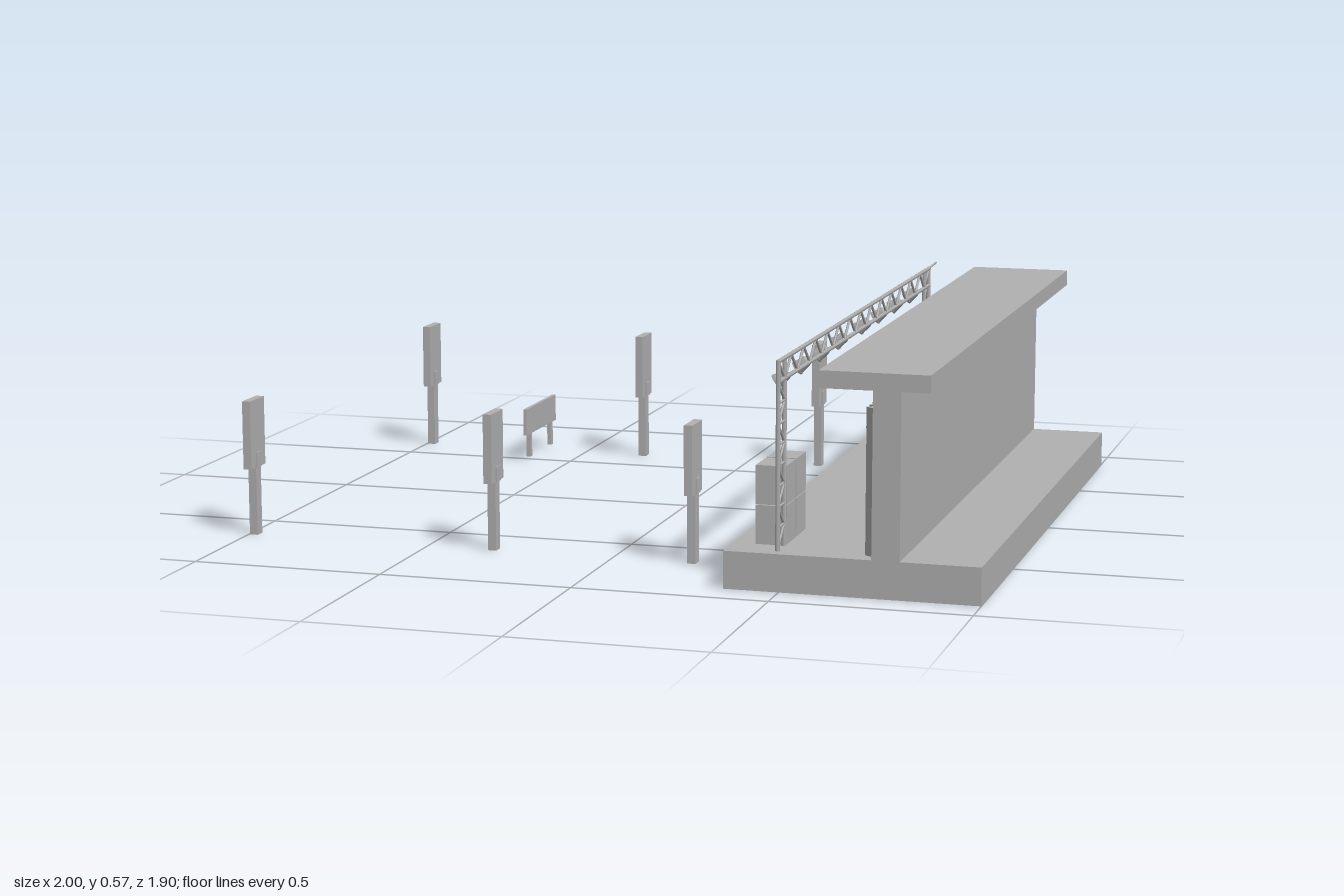
import * as THREE from 'three';

const grey = new THREE.MeshStandardMaterial({ color: 0xb0b0b0 });
grey.name = 'concrete grey';

function add(parent, name, geometry, x = 0, y = 0, z = 0) {
  const mesh = new THREE.Mesh(geometry, grey);
  mesh.name = name;
  mesh.position.set(x, y, z);
  parent.add(mesh);
  return mesh;
}

// Box given by its limits on each axis
function box(parent, name, [x0, x1], [y0, y1], [z0, z1]) {
  return add(parent, name, new THREE.BoxGeometry(x1 - x0, y1 - y0, z1 - z0),
    (x0 + x1) / 2, (y0 + y1) / 2, (z0 + z1) / 2);
}

// Round bar between two points
function bar(parent, name, a, b, r, sides = 6) {
  const p = new THREE.Vector3(...a), q = new THREE.Vector3(...b);
  const d = q.clone().sub(p);
  const mesh = add(parent, name, new THREE.CylinderGeometry(r, r, d.length(), sides));
  mesh.position.copy(p).add(q).multiplyScalar(0.5);
  mesh.quaternion.setFromUnitVectors(new THREE.Vector3(0, 1, 0), d.normalize());
  return mesh;
}

function group(parent, name, x = 0, y = 0, z = 0) {
  const g = new THREE.Group();
  g.name = name;
  g.position.set(x, y, z);
  parent.add(g);
  return g;
}

// Pleated curtain: a closed zigzag outline extruded upwards
function curtain(parent, z0, z1) {
  const folds = 9, shape = new THREE.Shape();
  shape.moveTo(0.73, -z0);
  for (let i = 0; i <= folds * 2; i++) {
    const z = z0 + (z1 - z0) * i / (folds * 2);
    shape.lineTo(i % 2 ? 0.703 : 0.722, -z);
  }
  shape.lineTo(0.73, -z1);
  const geo = new THREE.ExtrudeGeometry(shape, { depth: 0.365, bevelEnabled: false });
  geo.rotateX(-Math.PI / 2);
  add(parent, 'curtain', geo, 0, 0.095, 0);
}

// Flat lattice frame: two end posts and a top beam
function truss(parent) {
  const g = group(parent, 'lightingTruss'), x = 0.488, r = 0.006, t = 0.0035;
  for (const [a, b] of [[0.81, 0.87], [-0.85, -0.79]]) {
    for (const z of [a, b]) bar(g, 'postChord', [x, 0.001, z], [x, 0.565, z], r);
    const n = 8, h = 0.41 / n;
    for (let i = 0; i < n; i++) {
      const y = 0.1 + i * h;
      bar(g, 'postBrace', [x, y, i % 2 ? a : b], [x, y + h, i % 2 ? b : a], t);
      bar(g, 'postRung', [x, y + h, a], [x, y + h, b], t);
    }
  }
  for (const y of [0.512, 0.562]) bar(g, 'beamChord', [x, y, -0.855], [x, y, 0.872], r);
  const n = 28, step = 1.72 / n;
  for (let i = 0; i < n; i++) {
    const z = -0.85 + i * step;
    bar(g, 'beamBrace', [x, i % 2 ? 0.512 : 0.562, z], [x, i % 2 ? 0.562 : 0.512, z + step], t);
  }
  bar(g, 'endRod', [x, 0.562, -0.85], [x, 0.566, -0.95], 0.003);
}

// Tilted lamp hanging from the beam
function lamp(parent, z) {
  const g = group(parent, 'stageLamp', 0.461, 0.5, z);
  const can = group(g, 'lampCan');
  can.rotation.z = -0.9;
  add(can, 'lampBody', new THREE.CylinderGeometry(0.014, 0.018, 0.034, 16));
  add(can, 'lampRim', new THREE.CylinderGeometry(0.019, 0.019, 0.005, 16), 0, -0.015, 0);
  bar(g, 'lampBracket', [0, 0.004, 0], [0.027, 0.014, 0], 0.003);
}

// Two stacked cabinets with round drivers facing the audience
function speaker(parent, z0, z1) {
  const g = group(parent, 'speakerStack'), zc = (z0 + z1) / 2;
  for (const y of [0.095, 0.195]) {
    box(g, 'speakerCabinet', [0.416, 0.492], [y, y + 0.098], [z0, z1]);
    for (const [dy, r] of [[0.036, 0.029], [0.08, 0.012]]) {
      const cone = add(g, 'speakerDriver', new THREE.CylinderGeometry(r, r * 0.75, 0.006, 20), 0.414, y + dy, zc);
      cone.rotation.z = Math.PI / 2;
    }
  }
}

function microphone(parent, z) {
  const g = group(parent, 'microphoneStand', 0.532, 0.095, z);
  bar(g, 'standPole', [0, 0, 0], [0, 0.128, 0], 0.003);
  for (let i = 0; i < 3; i++) {
    const a = i * Math.PI * 2 / 3 + 0.5;
    bar(g, 'standFoot', [0, 0.014, 0], [0.028 * Math.cos(a), 0.002, 0.028 * Math.sin(a)], 0.0025);
  }
  bar(g, 'standBoom', [0.008, 0.122, -0.008], [-0.03, 0.138, 0.03], 0.0025);
  bar(g, 'microphone', [-0.026, 0.137, 0.026], [-0.038, 0.142, 0.038], 0.005, 10);
}

function drumKit(parent) {
  const g = group(parent, 'drumKit', 0.61, 0.095, 0.31);
  const bass = add(g, 'bassDrum', new THREE.CylinderGeometry(0.044, 0.044, 0.036, 24), 0, 0.048, 0);
  bass.rotation.z = Math.PI / 2;
  for (const s of [-1, 1]) {
    add(g, 'tom', new THREE.CylinderGeometry(0.024, 0.024, 0.032, 20), 0, 0.101, s * 0.036);
    add(g, 'floorTom', new THREE.CylinderGeometry(0.027, 0.027, 0.055, 20), 0.012, 0.045, s * 0.075);
    bar(g, 'cymbalPole', [0.018, 0, s * 0.08], [0.018, 0.14, s * 0.08], 0.003);
    add(g, 'cymbal', new THREE.ConeGeometry(0.029, 0.007, 20), 0.018, 0.137, s * 0.08);
  }
}

// Standing information panel
function sign(parent, x, z) {
  const g = group(parent, 'infoSign', x, 0, z);
  box(g, 'signPost', [-0.011, 0.011], [0, 0.2], [-0.015, 0.015]);
  box(g, 'signBracket', [-0.015, 0.015], [0.18, 0.22], [-0.015, 0.015]);
  box(g, 'signPanel', [-0.011, 0.011], [0.18, 0.36], [-0.045, 0.045]);
  box(g, 'signPlate', [-0.013, -0.011], [0.295, 0.345], [-0.034, 0.034]);
  box(g, 'signPlate', [-0.013, -0.011], [0.23, 0.28], [-0.034, 0.034]);
}

export function createModel() {
  const model = new THREE.Group();
  model.name = 'openAirStage';

  // Stage shell
  box(model, 'stageFloor', [0.36, 1], [0, 0.095], [-0.89, 0.905]);
  box(model, 'backWall', [0.73, 0.8], [0.095, 0.52], [-0.89, 0.905]);
  box(model, 'roof', [0.607, 0.88], [0.517, 0.56], [-0.934, 0.95]);
  box(model, 'backScreen', [0.719, 0.73], [0.28, 0.5], [-0.45, 0.46]);
  curtain(model, -0.86, -0.57);
  curtain(model, 0.58, 0.87);

  // Stage equipment
  truss(model);
  for (const z of [0.133, 0.333, 0.532, 0.732]) for (const s of [-1, 1]) lamp(model, s * z);
  for (const [a, b] of [[-0.81, -0.712], [-0.703, -0.61], [0.61, 0.703], [0.712, 0.81]]) speaker(model, a, b);
  microphone(model, -0.365);
  microphone(model, -0.09);
  drumKit(model);

  // Signs in the audience area
  for (const x of [-0.986, -0.322, 0.211]) for (const z of [-0.652, 0.655]) sign(model, x, z);
  const low = group(model, 'lowBoard');
  box(low, 'boardPanel', [-0.629, -0.619], [0.078, 0.155], [-0.72, -0.455]);
  for (const z of [-0.683, -0.495]) box(low, 'boardLeg', [-0.631, -0.619], [0.01, 0.12], [z - 0.008, z + 0.008]);
  return model;
}
